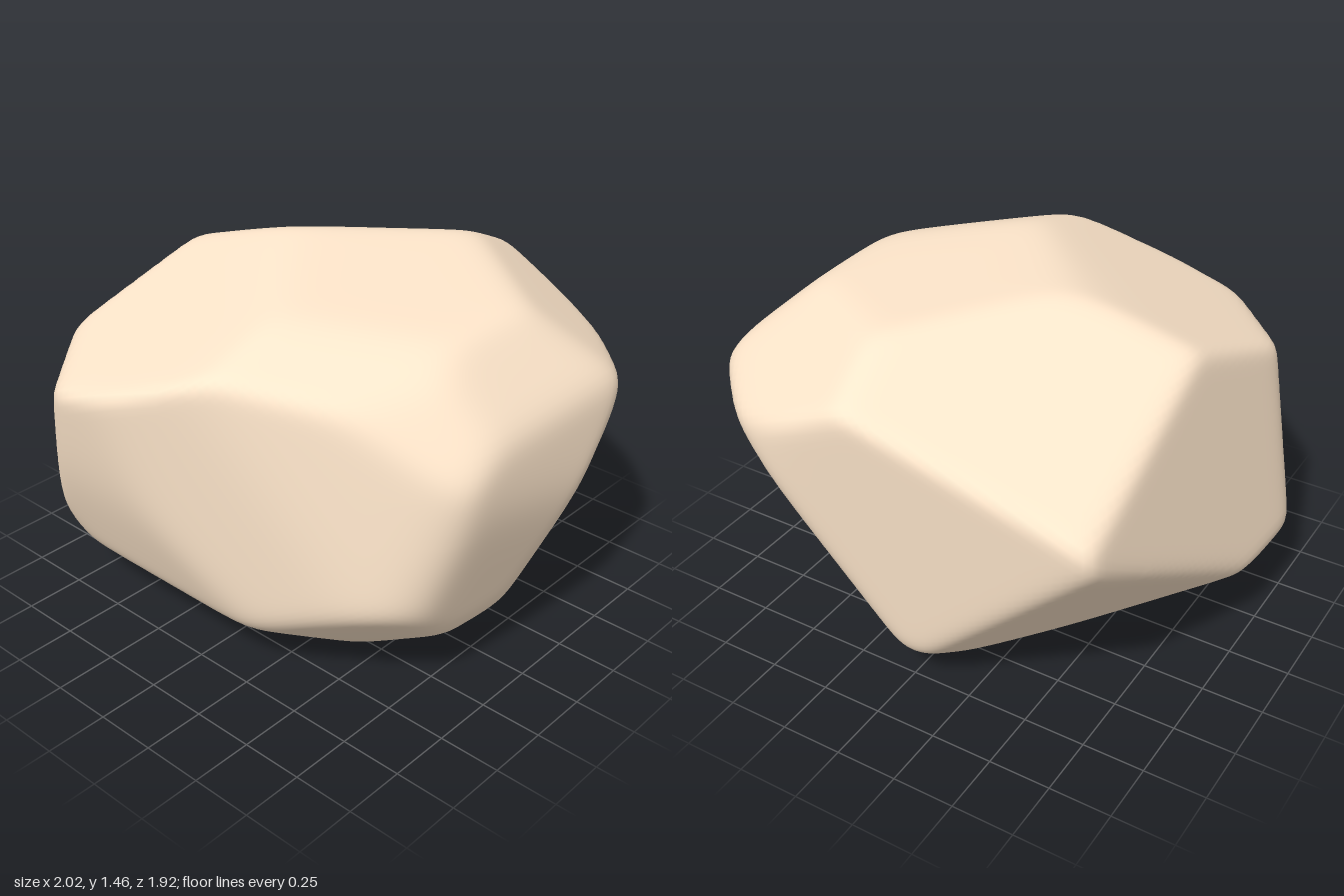
import * as THREE from 'three';
import { mergeVertices } from 'three/addons/utils/BufferGeometryUtils.js';

// Worn faces of the boulder: outward normal and offset, n . p = d
const FACETS = [
  // top
  [0.12, 1, 0, 1.435],
  [-0.1, 1, 0.15, 1.48],
  [-0.26, 0.92, 0.32, 1.41],
  [-0.32, 0.88, -0.36, 1.425],
  [0.4, 0.8, -0.45, 1.5],
  [0.68, 0.73, 0, 1.46],
  [0.3, 0.9, 0.3, 1.47],
  [0.65, 0.6, 0.45, 1.395],
  // front
  [0, -0.15, 0.98, 0.785],
  [0, -0.36, 0.93, 0.605],
  [0.3, -0.07, 0.95, 0.775],
  [0.5, 0.08, 0.866, 0.92],
  // left side
  [0.8, -0.1, 0.6, 0.93],
  [0.96, -0.27, 0.1, 0.765],
  [1, 0.1, 0, 1.095],
  [0.75, 0.1, -0.65, 1.21],
  [0.6, -0.52, -0.61, 0.42],
  // back
  [-0.06, -0.11, -0.99, 0.81],
  [0.35, 0, -0.93, 1.055],
  // right side
  [-1, 0.21, -0.06, 1.07],
  [-0.75, 0.1, 0.65, 1.125],
  [-0.596, -0.642, -0.481, 0.345],
  // underside
  [-0.1, -1, 0, -0.025],
  [-0.4, -0.9, 0, 0.115],
  [-0.5, -0.5, 0.7, 0.75],
  [0, -0.88, 0.42, 0.12],
  [0, -0.85, -0.5, 0.27],
  [0.47, -0.88, 0, 0.195],
  [0.45, -0.7, 0.55, 0.36],
];
const CENTRE = new THREE.Vector3(0, 0.75, 0);
const SHARPNESS = 42; // higher gives crisper ridges

// Distance from the centre to the softly blended facets along a direction
function radius(dir) {
  let sum = 0;
  for (const [x, y, z, d] of FACETS) {
    const n = new THREE.Vector3(x, y, z);
    const facing = n.dot(dir) / (d - n.dot(CENTRE));
    if (facing > 0) sum += facing ** SHARPNESS;
  }
  return sum ** (-1 / SHARPNESS);
}

export function createModel() {
  // Welded sphere so the normals come out smooth
  const ball = new THREE.IcosahedronGeometry(1, 36);
  ball.deleteAttribute('normal');
  ball.deleteAttribute('uv');
  const geometry = mergeVertices(ball, 1e-5);

  // Push every point out to the worn faces
  const pos = geometry.attributes.position;
  const p = new THREE.Vector3();
  for (let i = 0; i < pos.count; i++) {
    p.fromBufferAttribute(pos, i).normalize();
    p.multiplyScalar(radius(p)).add(CENTRE);
    pos.setXYZ(i, p.x, p.y, p.z);
  }
  geometry.computeVertexNormals();

  const boulder = new THREE.Mesh(geometry, new THREE.MeshStandardMaterial({ color: 0xffe7cc }));
  boulder.name = 'boulder';

  const group = new THREE.Group();
  group.name = 'rock';
  group.add(boulder);
  return group;
}
